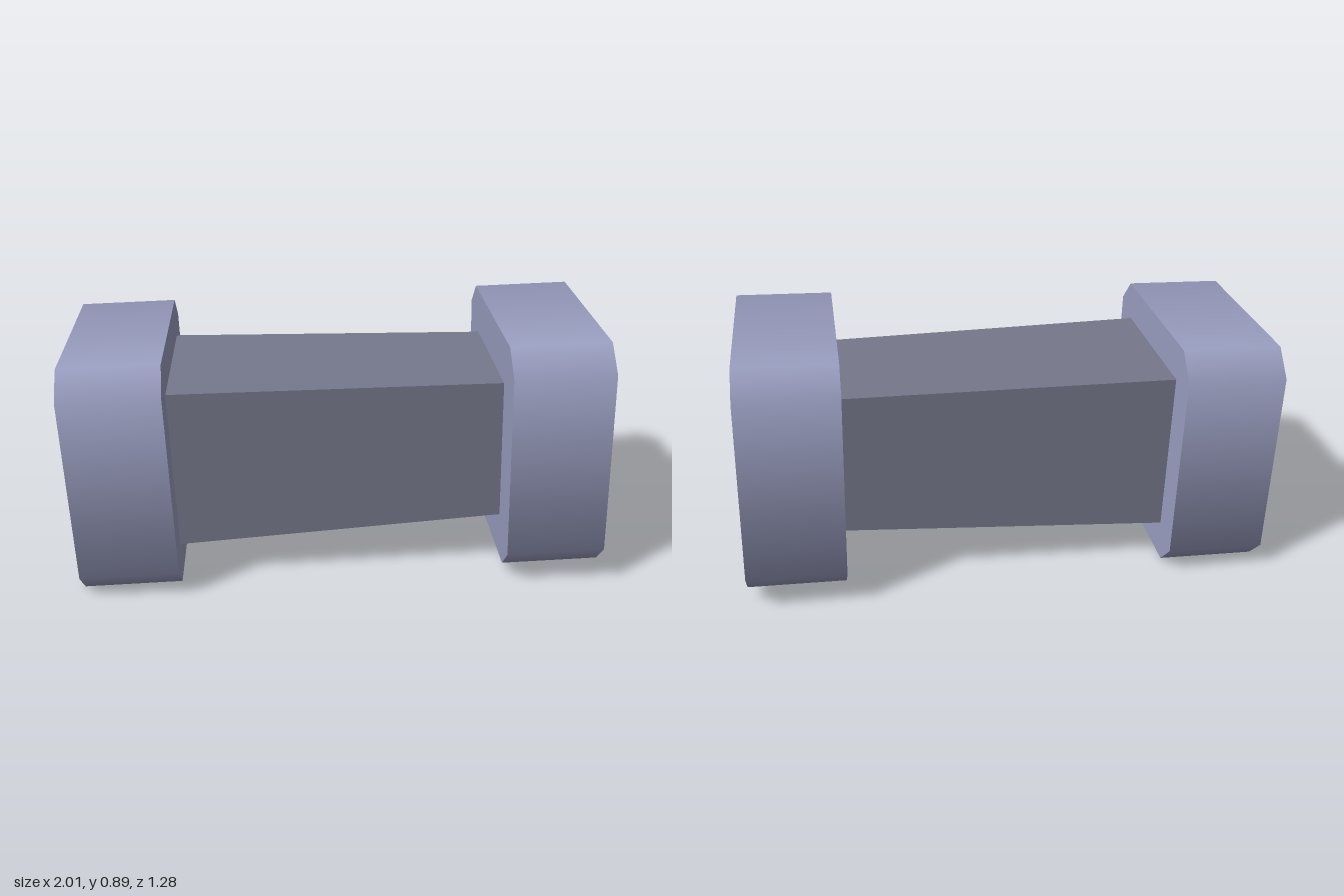
import * as THREE from 'three';

const HALF = 0.4175;    // half width of a square head
const CHAMFER = 0.085;  // corner cut
const HEAD_LENGTH = 0.345;
const HEAD_X = 0.75;
const BAR_LENGTH = 1.16;

// Eight-sided cylinder pushed out to a square with cut corners, smooth rim, flat caps
function headGeometry() {
  const geo = new THREE.CylinderGeometry(1, 1, HEAD_LENGTH, 8, 1, false, Math.PI / 8);
  const p = geo.attributes.position;
  for (let i = 0; i < p.count; i++) {
    const x = p.getX(i), z = p.getZ(i);
    if (Math.hypot(x, z) < 0.5) continue; // cap centre
    const wide = Math.abs(x) > Math.abs(z);
    p.setX(i, Math.sign(x) * (wide ? HALF : HALF - CHAMFER));
    p.setZ(i, Math.sign(z) * (wide ? HALF - CHAMFER : HALF));
  }
  return geo.rotateZ(-Math.PI / 2);
}

// Square bar, thicker at the -x end
function barGeometry(thick, thin) {
  const geo = new THREE.BoxGeometry(BAR_LENGTH, 1, 1);
  const p = geo.attributes.position;
  for (let i = 0; i < p.count; i++) {
    const s = p.getX(i) < 0 ? thick : thin;
    p.setY(i, p.getY(i) * s);
    p.setZ(i, p.getZ(i) * s);
  }
  geo.computeVertexNormals();
  return geo;
}

export function createModel() {
  const headMaterial = new THREE.MeshStandardMaterial({ color: 0x9a9ec0 });
  headMaterial.name = 'blue grey';
  const barMaterial = new THREE.MeshStandardMaterial({ color: 0x76788c });
  barMaterial.name = 'dark grey';

  const dumbbell = new THREE.Group();
  dumbbell.name = 'dumbbell';

  // Heads at both ends
  const geo = headGeometry();
  for (const [name, side] of [['leftHead', 1], ['rightHead', -1]]) {
    const head = new THREE.Mesh(geo, headMaterial);
    head.name = name;
    head.position.x = side * HEAD_X;
    dumbbell.add(head);
  }

  // Tapered bar between them
  const bar = new THREE.Mesh(barGeometry(0.58, 0.515), barMaterial);
  bar.name = 'bar';
  dumbbell.add(bar);

  // Slight tilt, then a turn about the vertical
  dumbbell.rotation.set(0, THREE.MathUtils.degToRad(-14.7), THREE.MathUtils.degToRad(1.7));
  dumbbell.position.y = 0.445;

  const model = new THREE.Group();
  model.name = 'model';
  model.add(dumbbell);
  return model;
}
